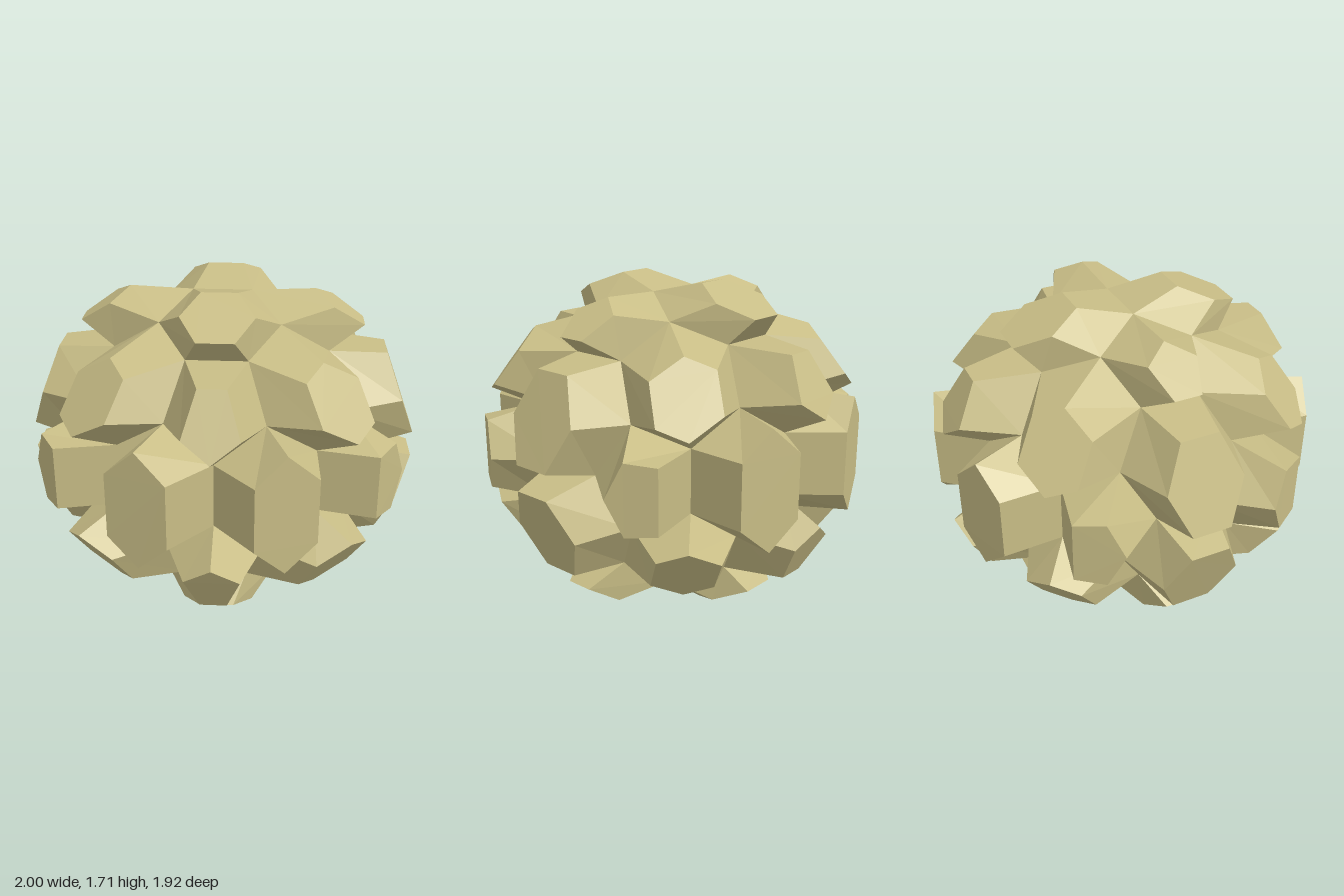
import * as THREE from 'three';

const P = (1 + Math.sqrt(5)) / 2;
const BASE = [0.15, 0.163, 0.15]; // scale of the inner truncated icosahedron
const MID_Y = 0.855;

// Corners of the inner solid (the valley points between the studs)
const zTip = [0, 1, 3 * P], yTip = [1, 3 * P, 0], xTip = [3 * P, 0, 1];
const zMid = [P, 2, 2 * P + 1], yMid = [2, 2 * P + 1, P], xMid = [2 * P + 1, P, 2];
const zFar = [1, 2 + P, 2 * P], xFar = [2 * P, 1, 2 + P], yFar = [2 + P, 2 * P, 1];

// Each stud: inner corners and matching raised corners.
// 'mirror' is the axis across which the half outline is completed.
const STUDS = [
  { name: 'frontHexStud', mirror: 1, base: [zTip, zMid, xFar],
    cap: [[0.2, 0.165, 0.96], [0.345, 0.305, 0.905], [0.495, 0.165, 0.85]] },
  { name: 'topHexStud', mirror: 0, base: [yTip, yMid, zFar],
    cap: [[0.09, 0.855, 0.27], [0.18, 0.785, 0.435], [0.09, 0.715, 0.6]] },
  { name: 'sideHexStud', mirror: 2, base: [xTip, xMid, yFar],
    cap: [[1, 0.067, 0.1], [0.92, 0.285, 0.2], [0.84, 0.505, 0.1]] },
  { name: 'frontPentagonStud', mirror: 0, base: [zTip, zMid, zFar],
    cap: [[0, 0.275, 0.96], [0.135, 0.37, 0.91], [0.068, 0.575, 0.8]] },
  { name: 'topPentagonStud', mirror: 2, base: [yTip, yMid, yFar],
    cap: [[0.47, 0.805, 0], [0.56, 0.745, 0.125], [0.72, 0.64, 0.07]] },
  { name: 'sidePentagonStud', mirror: 1, base: [xTip, xMid, xFar],
    cap: [[0.92, 0, 0.4], [0.87, 0.18, 0.475], [0.785, 0.165, 0.61]] },
  { name: 'cornerHexStud', mirror: -1, base: [zMid, xFar, xMid, yFar, yMid, zFar],
    cap: [[0.5, 0.365, 0.75], [0.67, 0.27, 0.69], [0.75, 0.325, 0.56],
      [0.67, 0.505, 0.45], [0.5, 0.6, 0.51], [0.42, 0.545, 0.64]] },
];

// Complete a half outline by reflecting it across one axis
function closeLoop(points, axis) {
  if (axis < 0) return points;
  const reflected = points.filter((p) => p[axis] !== 0).reverse()
    .map((p) => p.map((v, i) => (i === axis ? -v : v)));
  return [...points, ...reflected];
}

function studGeometry(base, cap) {
  const toVec = (p) => new THREE.Vector3(...p);
  let inner = base.map(toVec), outer = cap.map(toVec);
  // Make the loop run counter-clockwise seen from outside
  const n = outer[1].clone().sub(outer[0]).cross(outer[2].clone().sub(outer[0]));
  if (n.dot(outer[0]) < 0) { inner.reverse(); outer.reverse(); }
  const tris = [];
  const count = outer.length;
  for (let i = 1; i < count - 1; i++) tris.push(outer[0], outer[i], outer[i + 1]);
  for (let i = 0; i < count; i++) {
    const j = (i + 1) % count;
    tris.push(inner[i], inner[j], outer[j], inner[i], outer[j], outer[i]);
  }
  const geometry = new THREE.BufferGeometry().setFromPoints(tris);
  geometry.computeVertexNormals();
  return geometry;
}

export function createModel() {
  const model = new THREE.Group();
  model.name = 'studdedBall';
  const material = new THREE.MeshStandardMaterial({ color: 0xc8bd86, flatShading: true });
  for (const stud of STUDS) {
    const base = closeLoop(stud.base.map((p) => p.map((v, i) => v * BASE[i])), stud.mirror);
    const cap = closeLoop(stud.cap, stud.mirror);
    // Repeat the stud in every octant it belongs to
    for (let k = 0; k < 8; k++) {
      const sign = [0, 1, 2].map((i) => ((k >> i) & 1 ? -1 : 1));
      if (stud.mirror >= 0 && sign[stud.mirror] < 0) continue;
      const flip = (p) => p.map((v, i) => v * sign[i]);
      const mesh = new THREE.Mesh(studGeometry(base.map(flip), cap.map(flip)), material);
      mesh.name = stud.name;
      mesh.position.y = MID_Y;
      model.add(mesh);
    }
  }
  return model;
}
